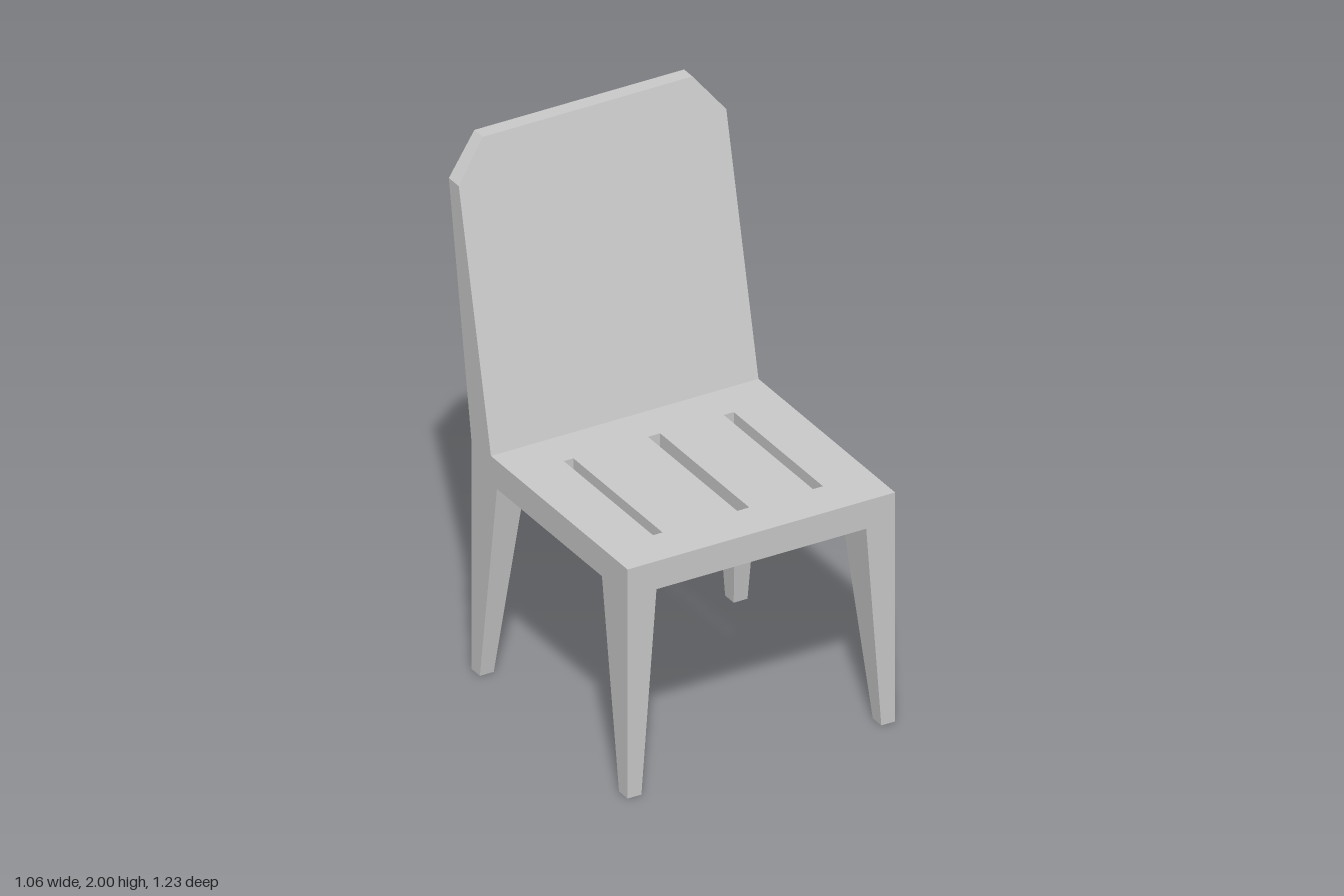
import * as THREE from 'three';

const HALF_W = 0.532, FRONT = 0.615, REAR = -0.44;
const SEAT_LOW = 0.79, SEAT_TOP = 0.9, TOP = 2;
const material = new THREE.MeshStandardMaterial({ color: 0xcccccc, flatShading: true });

// Move every vertex by a rule, then refresh the normals
function reshape(geometry, rule) {
  const pos = geometry.attributes.position;
  const v = new THREE.Vector3();
  for (let i = 0; i < pos.count; i++) {
    v.fromBufferAttribute(pos, i);
    rule(v);
    pos.setXYZ(i, v.x, v.y, v.z);
  }
  geometry.computeVertexNormals();
  return geometry;
}

function part(name, geometry) {
  const mesh = new THREE.Mesh(geometry, material);
  mesh.name = name;
  return mesh;
}

// Rectangle drawn in (x, -z) for the seat plan
function rectangle(Type, x0, x1, z0, z1) {
  return new Type([[x0, -z1], [x1, -z1], [x1, -z0], [x0, -z0]].map(p => new THREE.Vector2(...p)));
}

// Flat seat with three slots whose front ends slope
function seat() {
  const plan = rectangle(THREE.Shape, -HALF_W, HALF_W, REAR, FRONT);
  for (const [x0, x1] of [[-0.335, -0.297], [0, 0.048], [0.301, 0.341]])
    plan.holes.push(rectangle(THREE.Path, x0, x1, -0.15, 0.452));
  const geometry = new THREE.ExtrudeGeometry(plan, { depth: SEAT_TOP - SEAT_LOW, bevelEnabled: false });
  geometry.rotateX(-Math.PI / 2).translate(0, SEAT_LOW, 0);
  return reshape(geometry, v => {
    if (v.y < SEAT_LOW + 0.01 && Math.abs(v.z - 0.452) < 0.001) v.z = 0.438;
  });
}

// Leaning slab with clipped top corners, thinner towards the top
function backrest() {
  const outline = new THREE.Shape([
    [-HALF_W, SEAT_TOP], [HALF_W, SEAT_TOP], [HALF_W, 1.855],
    [0.417, TOP], [-0.417, TOP], [-HALF_W, 1.855],
  ].map(p => new THREE.Vector2(...p)));
  const geometry = new THREE.ExtrudeGeometry(outline, { depth: 1, bevelEnabled: false });
  return reshape(geometry, v => {
    const t = (v.y - SEAT_TOP) / (TOP - SEAT_TOP);
    v.z = v.z > 0.5
      ? THREE.MathUtils.lerp(-0.308, -0.558, t)
      : THREE.MathUtils.lerp(REAR, -0.615, t);
  });
}

// Leg with straight outer faces and tapering inner faces
function leg(side, end) {
  const outerZ = end > 0 ? FRONT : REAR;
  return reshape(new THREE.BoxGeometry(1, 1, 1), v => {
    const high = v.y > 0;
    const inX = v.x * side < 0 ? (high ? 0.115 : 0.055) : 0;
    const inZ = v.z * end < 0 ? (high ? 0.173 : 0.058) : 0;
    v.set(side * (HALF_W - inX), high ? SEAT_LOW : 0, outerZ - end * inZ);
  });
}

export function createModel() {
  const chair = new THREE.Group();
  chair.name = 'chair';
  chair.add(part('seat', seat()), part('backrest', backrest()));
  for (const side of [-1, 1])
    for (const end of [-1, 1])
      chair.add(part(`${end > 0 ? 'front' : 'back'}${side > 0 ? 'Left' : 'Right'}Leg`, leg(side, end)));
  return chair;
}
